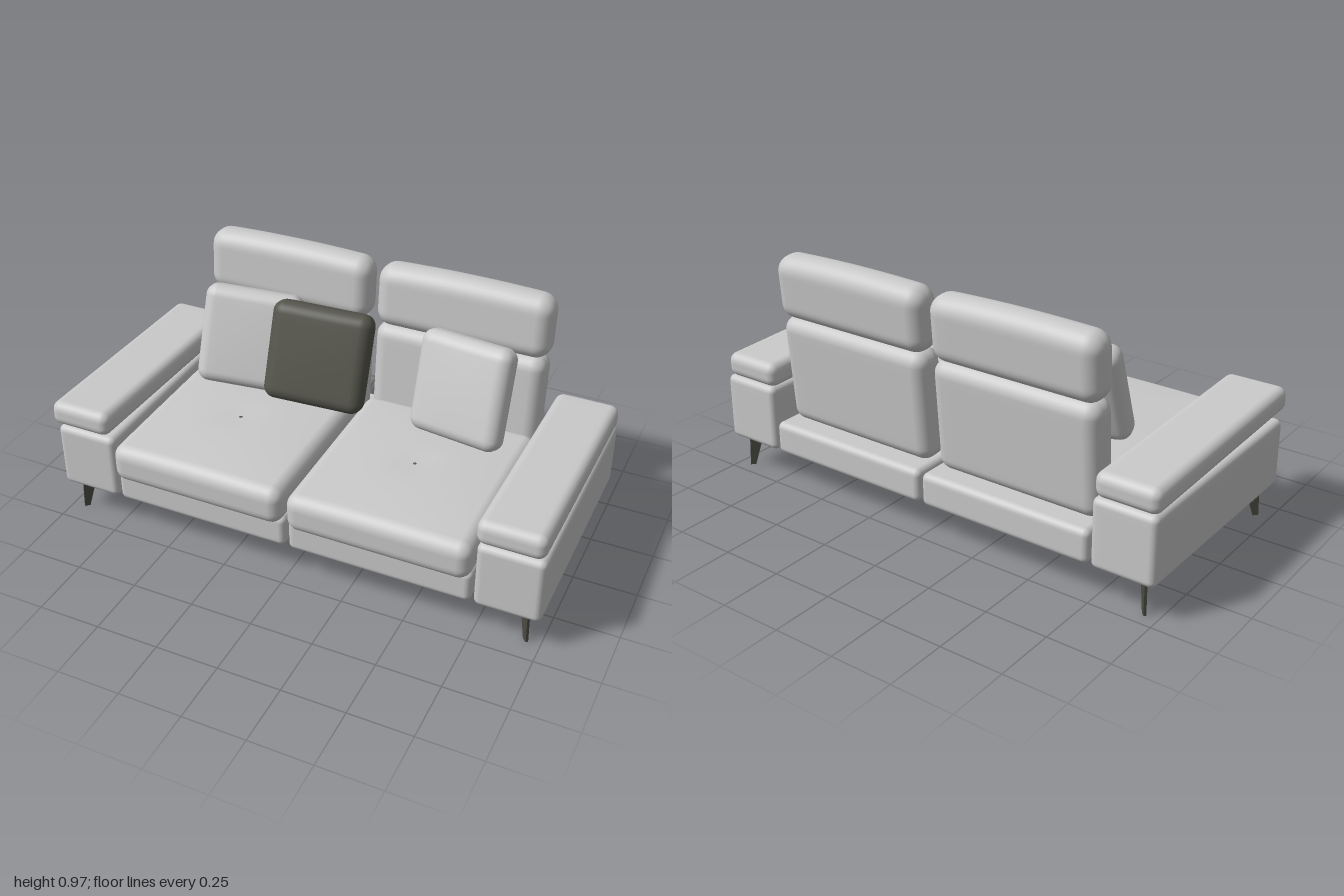
import * as THREE from 'three';
import { mergeVertices } from 'three/addons/utils/BufferGeometryUtils.js';

const fabric = new THREE.MeshStandardMaterial({ color: 0xcacaca });
fabric.name = 'light grey fabric';
const darkFabric = new THREE.MeshStandardMaterial({ color: 0x55554c });
darkFabric.name = 'dark olive fabric';
const legMetal = new THREE.MeshStandardMaterial({ color: 0x4a4a42 });
legMetal.name = 'dark leg metal';

// Rounded upholstery block: fine grid at the edges, optional warp of the surface
function cushionGeometry(size, r, warp) {
  const geo = new THREE.BoxGeometry(2, 2, 2, 20, 20, 20);
  geo.deleteAttribute('uv');
  geo.deleteAttribute('normal');
  const pos = geo.attributes.position;
  const half = new THREE.Vector3(...size).multiplyScalar(0.5);
  const inner = half.clone().subScalar(r);
  const p = new THREE.Vector3(), core = new THREE.Vector3();
  const spread = (u, a) => {
    const m = Math.abs(u);
    const v = m < 0.6 ? (m / 0.6) * a : a + r * Math.tan(((m - 0.6) / 0.4) * Math.PI / 4);
    return Math.sign(u) * v;
  };
  for (let i = 0; i < pos.count; i++) {
    p.fromBufferAttribute(pos, i);
    p.set(spread(p.x, inner.x), spread(p.y, inner.y), spread(p.z, inner.z));
    core.copy(p).clamp(inner.clone().negate(), inner);
    p.sub(core).setLength(r).add(core);
    if (warp) warp(p, half);
    pos.setXYZ(i, p.x, p.y, p.z);
  }
  const merged = mergeVertices(geo, 1e-5);
  merged.computeVertexNormals();
  return merged;
}

// Soft dome on top of the seat with a stitched dimple
const DIMPLE_Z = 0.0;
function seatWarp(p, half) {
  if (p.y < 0) return;
  const dome = (1 - (p.x / half.x) ** 2) * (1 - (p.z / half.z) ** 2);
  const d = Math.hypot(p.x, p.z - DIMPLE_Z);
  p.y += (0.018 * dome - 0.014 * Math.exp(-d / 0.04)) * (p.y / half.y);
}

// Slightly bowed top edge
function headWarp(p, half) {
  if (p.y > 0) p.y += 0.01 * (1 - (p.x / half.x) ** 2) * (p.y / half.y);
}

// Gently plump faces
function pillowWarp(p, half) {
  p.z *= 0.93 + 0.1 * (1 - (p.x / half.x) ** 2) * (1 - (p.y / half.y) ** 2);
}

export function createModel() {
  const model = new THREE.Group();
  model.name = 'sofa';

  function add(name, geo, mat, position, rotation = [0, 0, 0]) {
    const mesh = new THREE.Mesh(geo, mat);
    mesh.name = name;
    mesh.position.set(...position);
    mesh.rotation.set(...rotation);
    model.add(mesh);
    return mesh;
  }

  const armBase = cushionGeometry([0.255, 0.275, 0.95], 0.026);
  const armPad = cushionGeometry([0.255, 0.1, 0.972], 0.036);
  const seatBase = cushionGeometry([0.73, 0.135, 0.948], 0.026);
  const seat = cushionGeometry([0.726, 0.158, 0.785], 0.05, seatWarp);
  const lowerBack = cushionGeometry([0.705, 0.45, 0.138], 0.055);
  const headrest = cushionGeometry([0.715, 0.255, 0.142], 0.062, headWarp);
  const button = new THREE.SphereGeometry(0.009, 12, 8);

  // Tapered blade leg, standing in the diagonal plane
  const blade = new THREE.Shape([[0, 0], [-0.006, 0.14], [-0.064, 0.14], [-0.022, 0]]
    .map(([x, y]) => new THREE.Vector2(x, y)));
  const leg = new THREE.ExtrudeGeometry(blade, { depth: 0.01, bevelEnabled: false });
  leg.translate(0, 0, -0.005);

  for (const s of [-1, 1]) {
    const side = s > 0 ? 'left' : 'right';

    // Arms
    add(side + 'ArmBase', armBase, fabric, [s * 0.8725, 0.2725, -0.018]);
    add(side + 'ArmPad', armPad, fabric, [s * 0.8725, 0.469, 0], [-0.034, 0, 0]);

    // Seat
    add(side + 'SeatBase', seatBase, fabric, [s * 0.371, 0.2025, -0.018]);
    add(side + 'SeatCushion', seat, fabric, [s * 0.3725, 0.327, 0.1]);
    add(side + 'SeatButton', button, darkFabric, [s * 0.3725, 0.406, 0.1 + DIMPLE_Z]);

    // Backrest
    add(side + 'Backrest', lowerBack, fabric, [s * 0.371, 0.487, -0.362], [-0.08, 0, 0]);
    add(side + 'Headrest', headrest, fabric, [s * 0.3725, 0.831, -0.387], [-0.08, 0, 0]);

    // Legs
    for (const f of [-1, 1]) {
      add(side + (f > 0 ? 'Front' : 'Back') + 'Leg', leg, legMetal,
        [s * 0.95, 0, f > 0 ? 0.414 : -0.45], [0, Math.atan2(-f, s), 0]);
    }
  }

  // Loose pillows leaning on the backrest
  const pillow = cushionGeometry([0.4, 0.405, 0.118], 0.048, pillowWarp);
  add('rightPillow', pillow, fabric, [-0.46, 0.612, -0.165], [-0.33, 0.25, 0]);
  add('leftPillow', pillow, fabric, [0.455, 0.612, -0.165], [-0.33, -0.25, 0]);
  const dark = add('darkPillow', pillow, darkFabric, [-0.153, 0.603, -0.165], [-0.33, 0.12, 0]);
  dark.scale.x = 1.04;

  return model;
}
